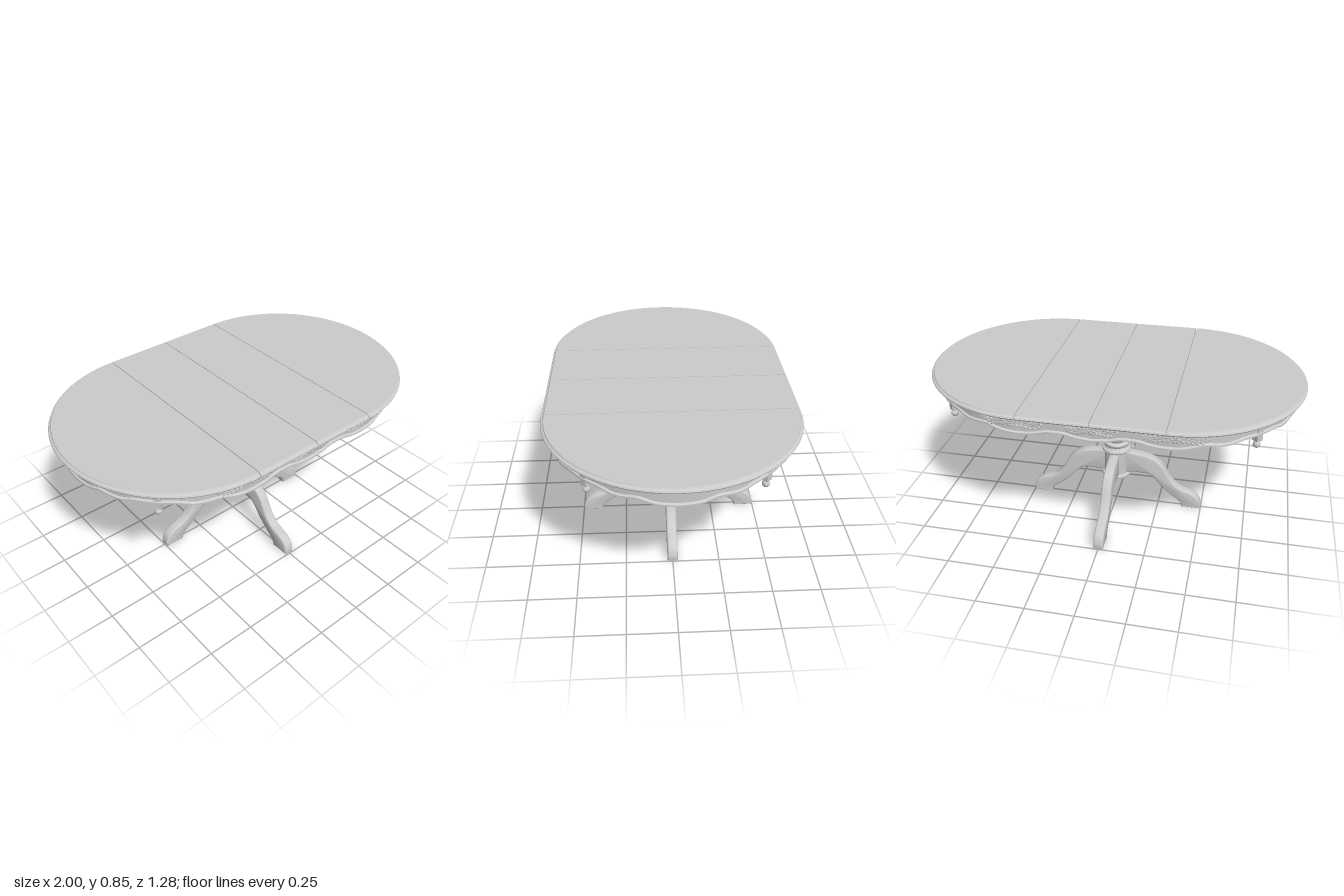
import * as THREE from 'three';
import { toCreasedNormals } from 'three/addons/utils/BufferGeometryUtils.js';

const mat = new THREE.MeshStandardMaterial({ color: 0xcccccc });
const STRAIGHT = 0.36;                       // half length of the straight sides
const R = 0.595;                             // apron radius
const HALF = STRAIGHT + R * Math.PI / 2;     // apron length from front middle to end middle

function add(parent, name, geo, x = 0, y = 0, z = 0) {
  const mesh = new THREE.Mesh(geo, mat);
  mesh.name = name;
  mesh.position.set(x, y, z);
  parent.add(mesh);
  return mesh;
}

// Skin a closed loop of cross-sections, each running from top to bottom
function skin(sections, closedSection) {
  const n = sections.length, m = sections[0].length, index = [];
  for (let i = 0; i < n; i++) {
    for (let j = 0; j < (closedSection ? m : m - 1); j++) {
      const i2 = (i + 1) % n, j2 = (j + 1) % m;
      const a = i * m + j, b = i * m + j2, c = i2 * m + j2, d = i2 * m + j;
      index.push(a, b, c, a, c, d);
    }
  }
  const geo = new THREE.BufferGeometry();
  geo.setAttribute('position', new THREE.Float32BufferAttribute(sections.flat(2), 3));
  geo.setIndex(index);
  return toCreasedNormals(geo, 0.5);
}

const lathe = (pts, seg = 40) =>
  toCreasedNormals(new THREE.LatheGeometry(pts.map(p => new THREE.Vector2(...p)), seg), 0.6);

// Point on the front half of the apron line, u measured from the front middle
function onApron(u, r) {
  const a = Math.max(0, Math.abs(u) - STRAIGHT) / R, s = Math.sign(u);
  const x = a > 0 ? s * (STRAIGHT + r * Math.sin(a)) : u;
  return { x, z: r * Math.cos(a), angle: s * a };
}

// One leaf of the top: outline(r) gives its contour for an edge radius
function leafGeometry(outline, cx) {
  const edge = [[0.624, 0.853], [0.628, 0.846], [0.637, 0.842], [0.64, 0.835], [0.636, 0.829], [0.618, 0.824]];
  const rings = edge.map(([r, y]) => outline(r).map(([x, z]) => [x, y, z]));
  return skin(rings[0].map((_, i) => [[cx, 0.853, 0], ...rings.map(k => k[i]), [cx, 0.824, 0]]), false);
}

function buildTop() {
  const top = new THREE.Group();
  top.name = 'tableTop';
  const gap = 0.002;
  const endLeaf = leafGeometry(r => {
    const pts = [[STRAIGHT + gap, r]];
    for (let i = 1; i < 48; i++) {
      const a = Math.PI * i / 48;
      pts.push([STRAIGHT + gap + (r - gap) * Math.sin(a), r * Math.cos(a)]);
    }
    return [...pts, [STRAIGHT + gap, -r]];
  }, 0.6);
  const middleLeaf = leafGeometry(r => {
    const a = gap, b = STRAIGHT - gap;
    return [[a, r], [b, r], [b, -r], [a, -r]];
  }, 0.18);
  for (const turn of [0, Math.PI]) {
    add(top, 'endLeaf', endLeaf).rotation.y = turn;
    add(top, 'middleLeaf', middleLeaf).rotation.y = turn;
  }
  return top;
}

// Scalloped apron with a small bead along its lower edge
function apronGeometry() {
  const scallop = new THREE.CatmullRomCurve3([
    [0, 0.727], [0.1, 0.733], [0.18, 0.752], [0.24, 0.747], [0.3, 0.745], [0.36, 0.757], [0.467, 0.758],
    [0.57, 0.757], [0.64, 0.745], [0.7, 0.747], [0.76, 0.752], [0.84, 0.733], [0.935, 0.727], [1.01, 0.733],
    [1.07, 0.747], [1.115, 0.749], [1.16, 0.747], [1.22, 0.733], [HALF, 0.726],
  ].map(([s, y]) => new THREE.Vector3(s, y, 0)));
  const N = 96, sections = [];
  const quarter = scallop.getPoints(N);      // from the end middle to the front middle
  const section = (u, b, back) =>
    [[0.589, 0.826], [0.589, b + 0.018], [0.597, b + 0.011], [0.597, b + 0.003], [0.592, b], [0.572, b], [0.572, 0.826]]
      .map(([r, y]) => {
        const p = onApron(u, r);
        return [p.x, y, p.z * back];
      });
  const half = [...quarter.map(p => [p.x - HALF, p.y]), ...quarter.slice(0, -1).reverse().map(p => [HALF - p.x, p.y])];
  for (const [u, b] of half) sections.push(section(u, b, 1));
  for (const [u, b] of half.slice(1, -1).reverse()) sections.push(section(u, b, -1));
  return skin(sections, true);
}

// Carved spray: a flower with a leafy stem to each side
function buildCarving(u0, size) {
  const g = new THREE.Group();
  g.name = 'floralCarving';
  const Y = 0.787, blob = new THREE.SphereGeometry(1, 8, 6);
  const bump = (name, du, dy, tilt, len, wide) => {
    const p = onApron(u0 + du * size, 0.591);
    const mesh = add(g, name, blob, p.x, Y + dy, p.z);
    mesh.rotation.set(0, p.angle, tilt, 'YXZ');
    mesh.scale.set(len, wide, 0.006);
  };
  for (let k = 0; k < 6; k++) {
    const a = k * Math.PI / 3;
    bump('petal', 0.014 * Math.cos(a), 0.014 * Math.sin(a), a, 0.011, 0.007);
  }
  bump('flowerHeart', 0, 0, 0, 0.007, 0.007);
  for (const side of [-1, 1]) {
    const wave = d => 0.008 * Math.sin(d * 45);
    const stem = [];
    for (let k = 0; k <= 10; k++) {
      const d = 0.015 * k, p = onApron(u0 + side * d * size, 0.591);
      stem.push(new THREE.Vector3(p.x, Y + wave(d), p.z));
    }
    add(g, 'stem', new THREE.TubeGeometry(new THREE.CatmullRomCurve3(stem), 24, 0.003, 5));
    for (let k = 1; k <= 6; k++) {
      const d = 0.012 + 0.022 * k, long = 0.015 - 0.001 * k;
      for (const v of [-1, 1])
        bump('leaf', side * d, wave(d) + v * (0.02 - 0.0018 * k), side * v * 0.8, long, 0.005);
    }
    bump('bud', side * 0.155, wave(0.15), 0, 0.007, 0.006);
  }
  return g;
}

// Curved leg drawn in side profile, extending along +x
function legGeometry() {
  const v = pts => pts.map(p => new THREE.Vector2(...p));
  const shape = new THREE.Shape();
  shape.moveTo(0.04, 0.335);
  shape.splineThru(v([[0.116, 0.329], [0.2, 0.312], [0.265, 0.265], [0.32, 0.175], [0.37, 0.125],
    [0.44, 0.097], [0.48, 0.068], [0.497, 0.03], [0.497, 0]]));
  shape.lineTo(0.39, 0);
  shape.splineThru(v([[0.377, 0.034], [0.32, 0.08], [0.27, 0.123], [0.22, 0.18], [0.185, 0.2], [0.116, 0.203], [0.04, 0.197]]));
  const bevel = 0.01, width = 0.055;
  const geo = new THREE.ExtrudeGeometry(shape, {
    depth: width - 2 * bevel, curveSegments: 36, bevelEnabled: true,
    bevelThickness: bevel, bevelSize: bevel, bevelOffset: -bevel, bevelSegments: 3,
  });
  geo.translate(0, 0, bevel - width / 2);
  return toCreasedNormals(geo, 0.6);
}

export function createModel() {
  const model = new THREE.Group();
  model.name = 'extendingPedestalTable';
  model.add(buildTop());
  add(model, 'apron', apronGeometry());

  // Carvings on both long sides
  for (const turn of [0, Math.PI]) {
    for (const [u, size] of [[-0.4, 1], [0, 0.8], [0.4, 1]]) {
      const carving = buildCarving(u, size);
      carving.rotation.y = turn;
      model.add(carving);
    }
  }

  // Corner posts with ball drops
  for (const sx of [-1, 1]) for (const sz of [-1, 1]) {
    const drop = new THREE.Group();
    drop.name = 'cornerDrop';
    const k = 0.576 * Math.SQRT1_2;
    drop.position.set(sx * (STRAIGHT + k), 0, sz * k);
    drop.rotation.y = Math.PI / 4;
    add(drop, 'post', new THREE.BoxGeometry(0.036, 0.1, 0.036), 0, 0.775, 0);
    add(drop, 'collar', new THREE.CylinderGeometry(0.013, 0.01, 0.012, 16), 0, 0.72, 0);
    add(drop, 'ball', new THREE.SphereGeometry(0.019, 16, 12), 0, 0.703, 0);
    model.add(drop);
  }

  // Slide rails and mounting plate under the top
  for (const sz of [-1, 1]) {
    add(model, 'slideRail', new THREE.BoxGeometry(0.94, 0.03, 0.04), 0, 0.81, sz * 0.27);
    add(model, 'slideRunner', new THREE.BoxGeometry(0.66, 0.05, 0.025), 0, 0.775, sz * 0.27);
  }
  const plate = new THREE.CylinderGeometry(Math.SQRT1_2, 0.68, 0.018, 4, 1).toNonIndexed();
  plate.rotateY(Math.PI / 4);
  plate.scale(0.7, 1, 0.66);
  plate.computeVertexNormals();
  add(model, 'mountingPlate', plate, 0, 0.745, 0);

  // Turned column
  add(model, 'column', lathe([
    [0, 0.136], [0.012, 0.138], [0.02, 0.147], [0.018, 0.156], [0.03, 0.158], [0.055, 0.168], [0.07, 0.174],
    [0.08, 0.177], [0.083, 0.186], [0.08, 0.195], [0.07, 0.198], [0.07, 0.335], [0.077, 0.337], [0.083, 0.345],
    [0.08, 0.356], [0.07, 0.362], [0.066, 0.372], [0.072, 0.38], [0.074, 0.39], [0.068, 0.398], [0.058, 0.403],
    [0.064, 0.415], [0.076, 0.438], [0.083, 0.465], [0.083, 0.488], [0.077, 0.52], [0.067, 0.56], [0.06, 0.6],
    [0.06, 0.618], [0.067, 0.622], [0.068, 0.63], [0.06, 0.635], [0.06, 0.643], [0.074, 0.648], [0.081, 0.658],
    [0.083, 0.695], [0.115, 0.697], [0.125, 0.705], [0.13, 0.709], [0.16, 0.711], [0.17, 0.722], [0.17, 0.737], [0, 0.737],
  ]));

  // Four legs
  const leg = legGeometry();
  for (let i = 0; i < 4; i++) add(model, 'leg', leg).rotation.y = i * Math.PI / 2;

  return model;
}
